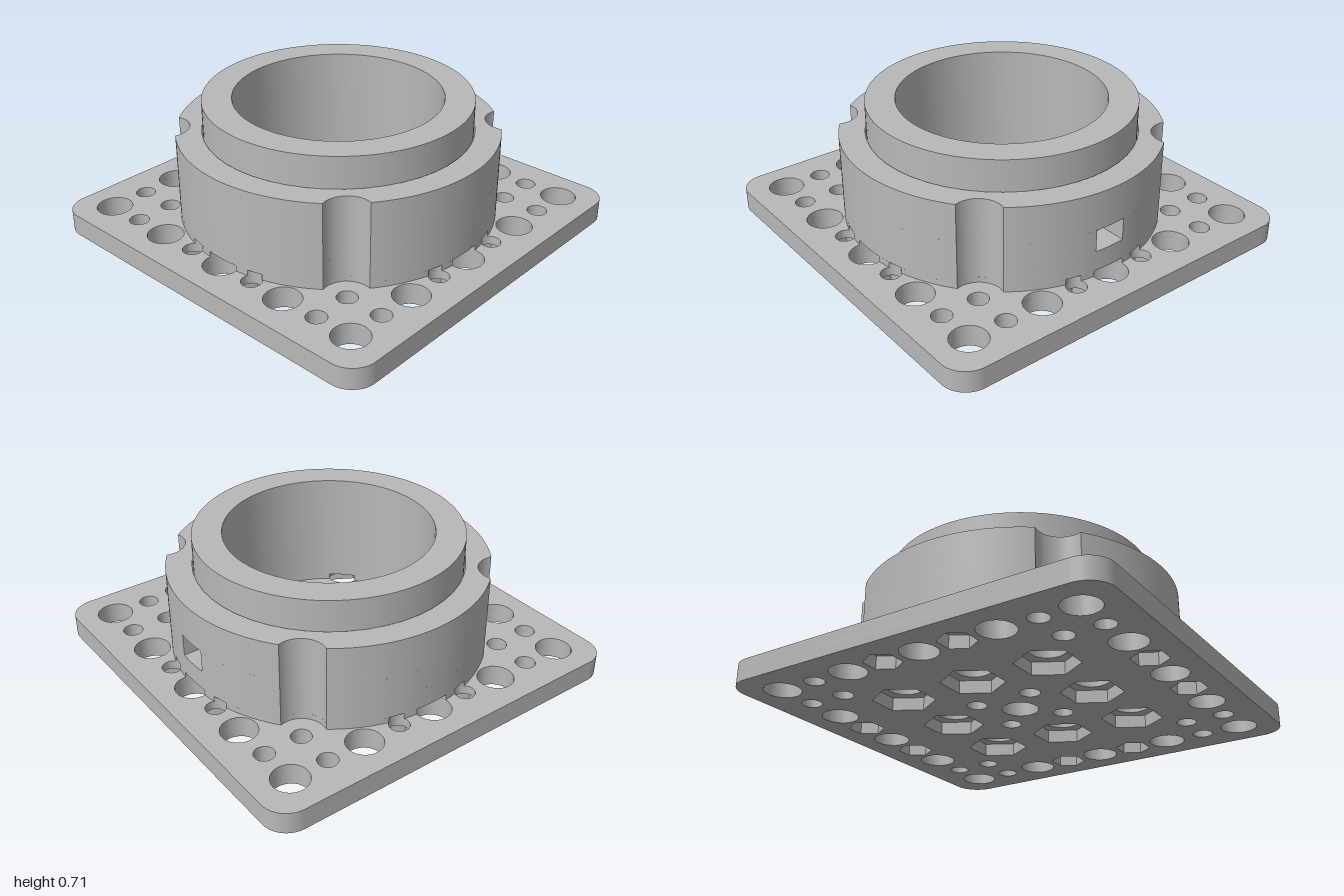
import * as THREE from 'three';
import { toCreasedNormals } from 'three/addons/utils/BufferGeometryUtils.js';

const GRID = [-0.81, -0.405, 0, 0.405, 0.81];
const BIG = 0.09, SMALL = 0.05, TOP = 0.11;
const R_BODY = 0.805, R_GAP = 0.676, R_COLLAR = 0.67, R_BORE = 0.522;

// the four mirrored copies of a position
const mirror4 = (x, y) => [[x, y], [-x, y], [x, -y], [-x, -y]];

const circle = (x, y, r) => {
  const p = new THREE.Path();
  p.absarc(x, y, r, 0, Math.PI * 2, false);
  return p;
};

// hexagon with corners pointing along the second axis
const hexagon = (x, y, r) => {
  const p = new THREE.Path();
  for (let i = 0; i < 6; i++) {
    const a = Math.PI / 2 + i * Math.PI / 3;
    const q = [x + r * Math.cos(a), y + r * Math.sin(a)];
    if (i) p.lineTo(...q); else p.moveTo(...q);
  }
  p.closePath();
  return p;
};

// circle of radius R whose rim is bitten inwards (or bulged outwards) by smaller circles [x, y, r]
function scallop(path, R, cuts, outward = false) {
  const list = cuts.map(([x, y, r]) => {
    const d = Math.hypot(x, y);
    const t = (Math.atan2(y, x) + Math.PI * 2) % (Math.PI * 2);
    return { x, y, r, t, half: Math.acos((R * R + d * d - r * r) / (2 * R * d)) };
  }).sort((a, b) => a.t - b.t);
  list.forEach((c, i) => {
    const next = list[(i + 1) % list.length];
    const angleAt = (t) => Math.atan2(R * Math.sin(t) - c.y, R * Math.cos(t) - c.x);
    path.absarc(c.x, c.y, c.r, angleAt(c.t - c.half), angleAt(c.t + c.half), !outward);
    const end = next.t - next.half + (i === list.length - 1 ? Math.PI * 2 : 0);
    path.absarc(0, 0, R, c.t + c.half, end, false);
  });
  return path;
}

export function createModel() {
  const group = new THREE.Group();
  const grey = new THREE.MeshStandardMaterial({ color: 0xb8b8b8 });
  grey.name = 'grey';

  // upright slab of a plan shape between two heights
  function slab(name, shape, y0, y1, curveSegments) {
    const geo = new THREE.ExtrudeGeometry(shape, { depth: y1 - y0, bevelEnabled: false, curveSegments });
    geo.rotateX(-Math.PI / 2);
    geo.translate(0, y0, 0);
    const mesh = new THREE.Mesh(toCreasedNormals(geo, 0.5), grey);
    mesh.name = name;
    group.add(mesh);
  }

  // hole pattern
  const bigHoles = GRID.flatMap((x) => GRID.map((y) => [x, y]));
  const edgeHoles = [...mirror4(0.203, 0.81), ...mirror4(0.81, 0.203)];
  const plainHoles = [...mirror4(0.61, 0.81), ...mirror4(0.81, 0.61),
    ...mirror4(0.61, 0.61), ...mirror4(0.153, 0.153)];

  // base plate: nut pockets in the lower layer, round holes in the upper
  function plate(pockets) {
    const s = new THREE.Shape(), r = 0.13, c = 1 - r;
    [[c, c], [-c, c], [-c, -c], [c, -c]].forEach(([x, y], i) =>
      s.absarc(x, y, r, i * Math.PI / 2, (i + 1) * Math.PI / 2, false));
    s.closePath();
    for (const [x, y] of bigHoles) {
      const inner = Math.abs(x) < 0.5 && Math.abs(y) < 0.5 && (x !== 0 || y !== 0);
      s.holes.push(pockets && inner ? hexagon(x, y, 0.153) : circle(x, y, BIG));
    }
    for (const [x, y] of edgeHoles) s.holes.push(pockets ? hexagon(x, y, 0.09) : circle(x, y, SMALL));
    for (const [x, y] of plainHoles) s.holes.push(circle(x, y, SMALL));
    return s;
  }
  slab('basePlateLower', plate(true), 0, 0.065, 16);
  slab('basePlateUpper', plate(false), 0.065, TOP, 16);

  // foot of the housing, relieved where the plate holes run into it
  const corners = mirror4(0.605, 0.605).map(([x, y]) => [x, y, 0.12]);
  const rimHoles = [
    ...[[0.81, 0], [-0.81, 0], [0, 0.81], [0, -0.81]].map(([x, y]) => [x, y, BIG]),
    ...edgeHoles.map(([x, y]) => [x, y, SMALL]),
  ];
  const foot = scallop(new THREE.Shape(), R_BODY, [...corners, ...rimHoles]);
  const boreCuts = mirror4(0.405, 0.405).map(([x, y]) => [x, y, BIG]);
  foot.holes.push(scallop(new THREE.Path(), R_BORE, boreCuts, true));
  slab('housingFoot', foot, TOP, 0.14, 12);

  // outer housing with four corner flutes
  const ring = scallop(new THREE.Shape(), R_BODY, corners);
  ring.holes.push(circle(0, 0, R_GAP));
  slab('housingLower', ring, 0.14, 0.245, 24);
  slab('housingUpper', ring, 0.36, 0.555, 24);

  // middle band of the housing, open at the side window
  const band = new THREE.Shape();
  const w = 0.082, a = Math.asin(w / R_BODY), b = Math.asin(w / R_GAP);
  band.moveTo(R_BODY * Math.cos(a), w);
  let from = a;
  for (let i = 0; i < 4; i++) {
    const t = Math.PI / 4 + i * Math.PI / 2, d = 0.605 * Math.SQRT2, r = 0.12;
    const h = Math.acos((R_BODY ** 2 + d * d - r * r) / (2 * R_BODY * d));
    const cx = d * Math.cos(t), cy = d * Math.sin(t);
    const at = (q) => Math.atan2(R_BODY * Math.sin(q) - cy, R_BODY * Math.cos(q) - cx);
    band.absarc(0, 0, R_BODY, from, t - h, false);
    band.absarc(cx, cy, r, at(t - h), at(t + h), true);
    from = t + h;
  }
  band.absarc(0, 0, R_BODY, from, Math.PI * 2 - a, false);
  band.absarc(0, 0, R_GAP, Math.PI * 2 - b, b, true);
  band.closePath();
  slab('housingWindowBand', band, 0.245, 0.36, 32);

  // inner collar standing above the housing
  const collar = new THREE.Shape();
  collar.absarc(0, 0, R_COLLAR, 0, Math.PI * 2, false);
  collar.holes.push(circle(0, 0, R_BORE));
  slab('collar', collar, 0.14, 0.715, 56);

  return group;
}
